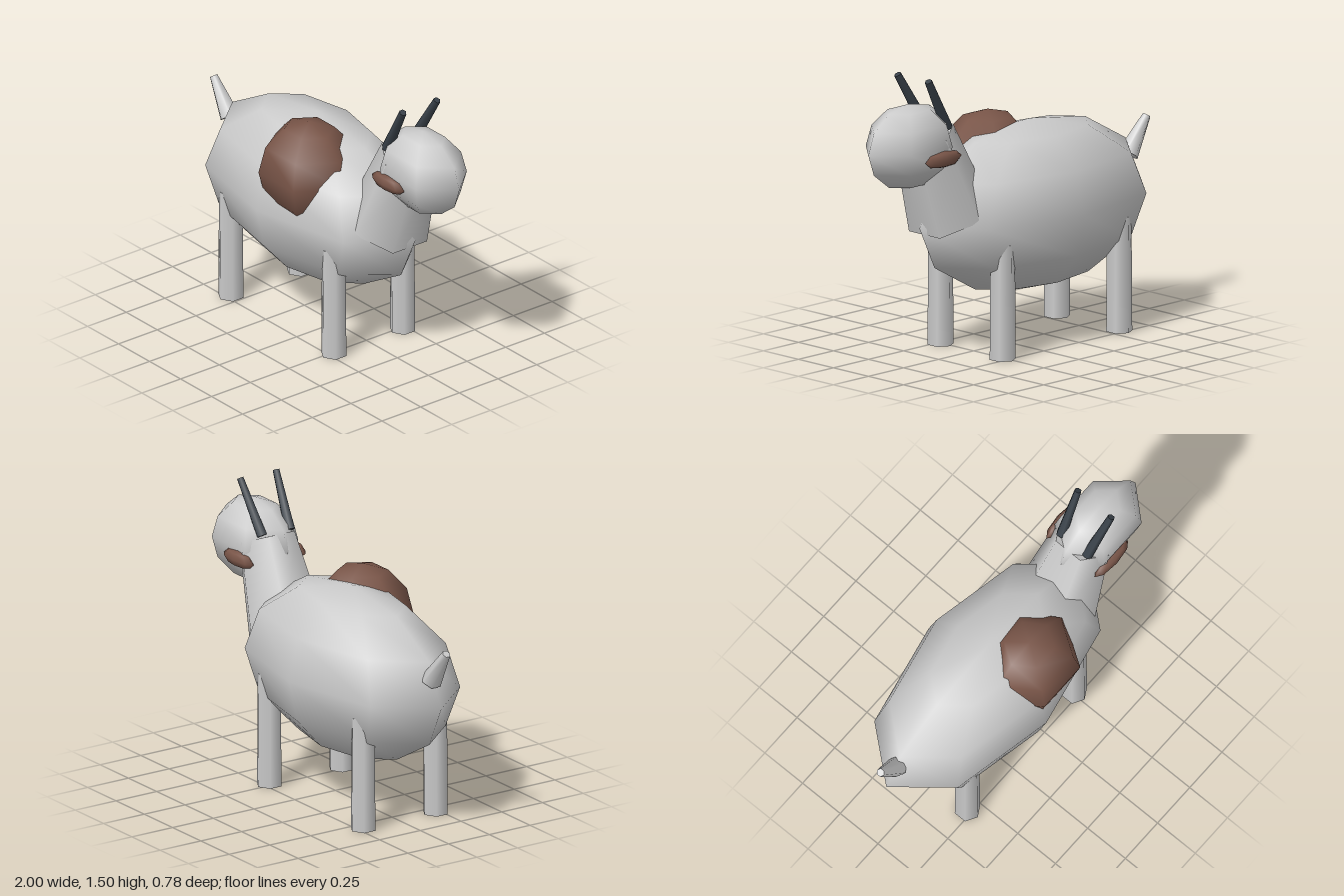
import * as THREE from 'three';

const coat = new THREE.MeshStandardMaterial({ color: 0xcccccc });
const brown = new THREE.MeshStandardMaterial({ color: 0x795548 });
const dark = new THREE.MeshStandardMaterial({ color: 0x394149 });

// Low-poly ellipsoid with smooth normals
function ellipsoid(name, center, radii, sides, rings, material) {
  const geometry = new THREE.SphereGeometry(1, sides, rings).scale(...radii);
  const mesh = new THREE.Mesh(geometry, material);
  mesh.name = name;
  mesh.position.set(...center);
  return mesh;
}

// Six-sided tapered limb running from one point to another
function limb(name, from, to, rFrom, rTo, material) {
  const a = new THREE.Vector3(...from);
  const b = new THREE.Vector3(...to);
  const dir = b.clone().sub(a);
  const mesh = new THREE.Mesh(new THREE.CylinderGeometry(rTo, rFrom, dir.length(), 6), material);
  mesh.name = name;
  mesh.position.copy(a).add(b).multiplyScalar(0.5);
  mesh.quaternion.setFromUnitVectors(new THREE.Vector3(0, 1, 0), dir.normalize());
  return mesh;
}

export function createModel() {
  const goat = new THREE.Group();
  goat.name = 'goat';

  // Trunk with one patch on its side
  goat.add(
    ellipsoid('body', [-0.15, 0.7, 0], [0.785, 0.44, 0.39], 8, 6, coat),
    ellipsoid('patch', [-0.01, 0.91, 0.16], [0.28, 0.275, 0.25], 6, 6, brown),
  );

  // Neck, head and tail
  goat.add(
    limb('neck', [0.425, 0.736, 0], [0.605, 1.182, 0], 0.22, 0.16, coat),
    ellipsoid('head', [0.71, 1.145, 0], [0.29, 0.22, 0.19], 6, 6, coat),
    limb('tail', [-0.85, 0.83, 0], [-0.981, 1.008, 0], 0.055, 0.022, coat),
  );

  // Mirrored parts on both flanks
  for (const side of [1, -1]) {
    const prefix = side > 0 ? 'near' : 'far';
    goat.add(
      limb(prefix + 'Horn', [0.525, 1.225, side * 0.085], [0.683, 1.495, side * 0.11], 0.029, 0.019, dark),
      ellipsoid(prefix + 'Ear', [0.625, 1.09, side * 0.16], [0.13, 0.043, 0.037], 8, 4, brown),
      limb(prefix + 'FrontLeg', [0.265, 0, side * 0.222], [0.265, 0.6, side * 0.222], 0.068, 0.064, coat),
      limb(prefix + 'HindLeg', [-0.565, 0, side * 0.222], [-0.565, 0.6, side * 0.222], 0.068, 0.064, coat),
    );
  }

  return goat;
}
